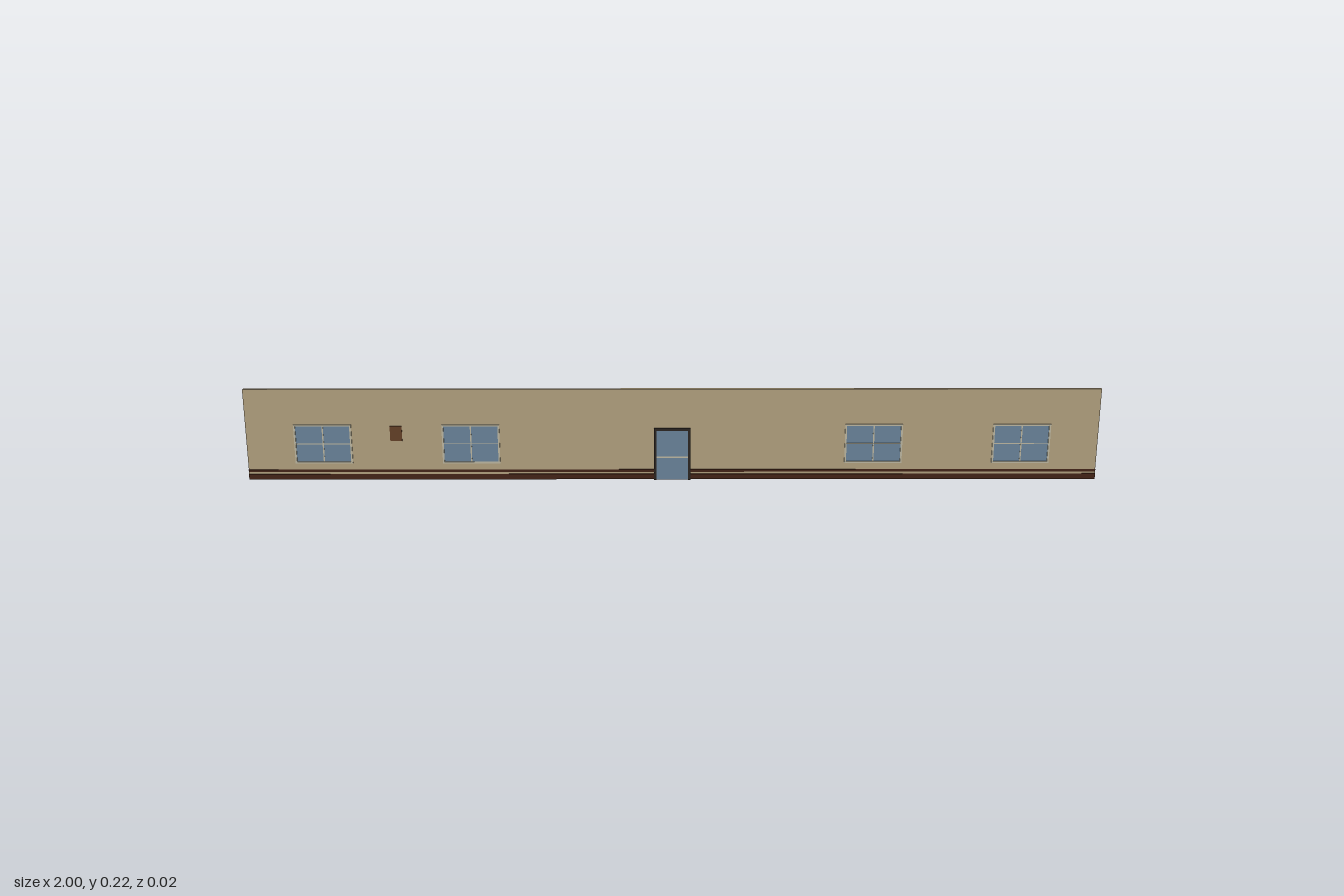
import * as THREE from 'three';

const mat = (name, color) => Object.assign(new THREE.MeshStandardMaterial({ color }), { name });

export function createModel() {
  const model = new THREE.Group();
  model.name = 'facade';
  const wallTan = mat('wall tan', 0xbcaa87);
  const trimBrown = mat('trim dark brown', 0x472619);
  const frameCream = mat('frame cream', 0xc9c3ab);
  const glassBlue = mat('glass blue', 0x718ca4);
  const glassNavy = mat('glass navy', 0x37435f);
  const doorDark = mat('door frame dark', 0x2e2723);
  const ventBrown = mat('vent brown', 0x6a452a);
  const signGold = mat('sign gold', 0xc9a132);

  // Box given by its limits on each axis
  const box = (parent, name, material, x0, x1, y0, y1, z0, z1) => {
    const mesh = new THREE.Mesh(new THREE.BoxGeometry(x1 - x0, y1 - y0, z1 - z0), material);
    mesh.position.set((x0 + x1) / 2, (y0 + y1) / 2, (z0 + z1) / 2);
    mesh.name = name;
    parent.add(mesh);
  };

  // Framed opening on one face of the wall; side is 1 for front, -1 for back
  const opening = (name, o) => {
    const { x, w, y0, y1, side, depth, bar, frame, glass, sill = true } = o;
    const g = new THREE.Group();
    g.name = name;
    const part = (n, m, xa, xb, ya, yb, d) =>
      box(g, n, m, xa, xb, ya, yb, Math.min(side * 0.0045, side * d), Math.max(side * 0.0045, side * d));
    const l = x - w / 2, r = x + w / 2;
    part('glass', glass, l + bar, r - bar, y0 + (sill ? bar : 0), y1 - bar, 0.0054);
    part('jamb', frame, l, l + bar, y0, y1, depth);
    part('jamb', frame, r - bar, r, y0, y1, depth);
    part('head', frame, l + bar, r - bar, y1 - bar, y1, depth);
    if (sill) part('sill', frame, l + bar, r - bar, y0, y0 + bar, depth);
    if (o.mullion) part('mullion', frameCream, x - 0.0015, x + 0.0015, y0 + bar, y1 - bar, 0.0061);
    const my = o.railY ?? (y0 + y1) / 2;
    part('crossbar', frameCream, l + bar, r - bar, my - o.rail / 2, my + o.rail / 2, 0.0059);
    model.add(g);
  };

  // Wall slab
  box(model, 'wall', wallTan, -1, 1, 0.002, 0.222, -0.005, 0.005);

  // Skirting bands on the front, stopping at the door, and a plain base at the back
  for (const s of [-1, 1]) {
    const [a, b] = s < 0 ? [-1, -0.043] : [0.043, 1];
    box(model, 'lowerBand', trimBrown, a, b, 0.002, 0.015, 0.0045, 0.0075);
    box(model, 'upperBand', trimBrown, a, b, 0.02, 0.026, 0.0045, 0.0065);
    box(model, 'backBase', wallTan, a, b, 0.002, 0.02, -0.0058, -0.0045);
  }

  // Four windows, each with a front and a back face
  for (const x of [-0.82, -0.473, 0.473, 0.82]) {
    const size = { x, w: 0.135, y0: 0.042, y1: 0.137, bar: 0.004, frame: frameCream, mullion: true, rail: 0.0015 };
    opening('frontWindow', { ...size, side: 1, depth: 0.008, glass: glassBlue });
    opening('backWindow', { ...size, side: -1, depth: 0.0065, glass: glassNavy });
  }

  // Door seen on both faces
  for (const side of [1, -1]) {
    opening('door', {
      x: 0, w: 0.086, y0: 0, y1: 0.128, side, depth: side > 0 ? 0.0085 : 0.0065, bar: 0.006,
      frame: doorDark, glass: glassBlue, rail: 0.003, railY: 0.056, sill: false,
    });
  }

  // Side windows beside the back door
  for (const s of [-1, 1]) {
    opening('sideWindow', {
      x: s * 0.086, w: 0.074, y0: 0.02, y1: 0.137, side: -1, depth: 0.0065, bar: 0.003,
      frame: frameCream, glass: glassNavy, mullion: true, rail: 0.0015,
    });
  }

  // Small vent on the front and blank sign board above the back door
  box(model, 'vent', ventBrown, -0.662, -0.634, 0.097, 0.133, 0.0045, 0.0065);
  box(model, 'signBoard', signGold, -0.105, 0.105, 0.153, 0.178, -0.0095, -0.0085);

  return model;
}
